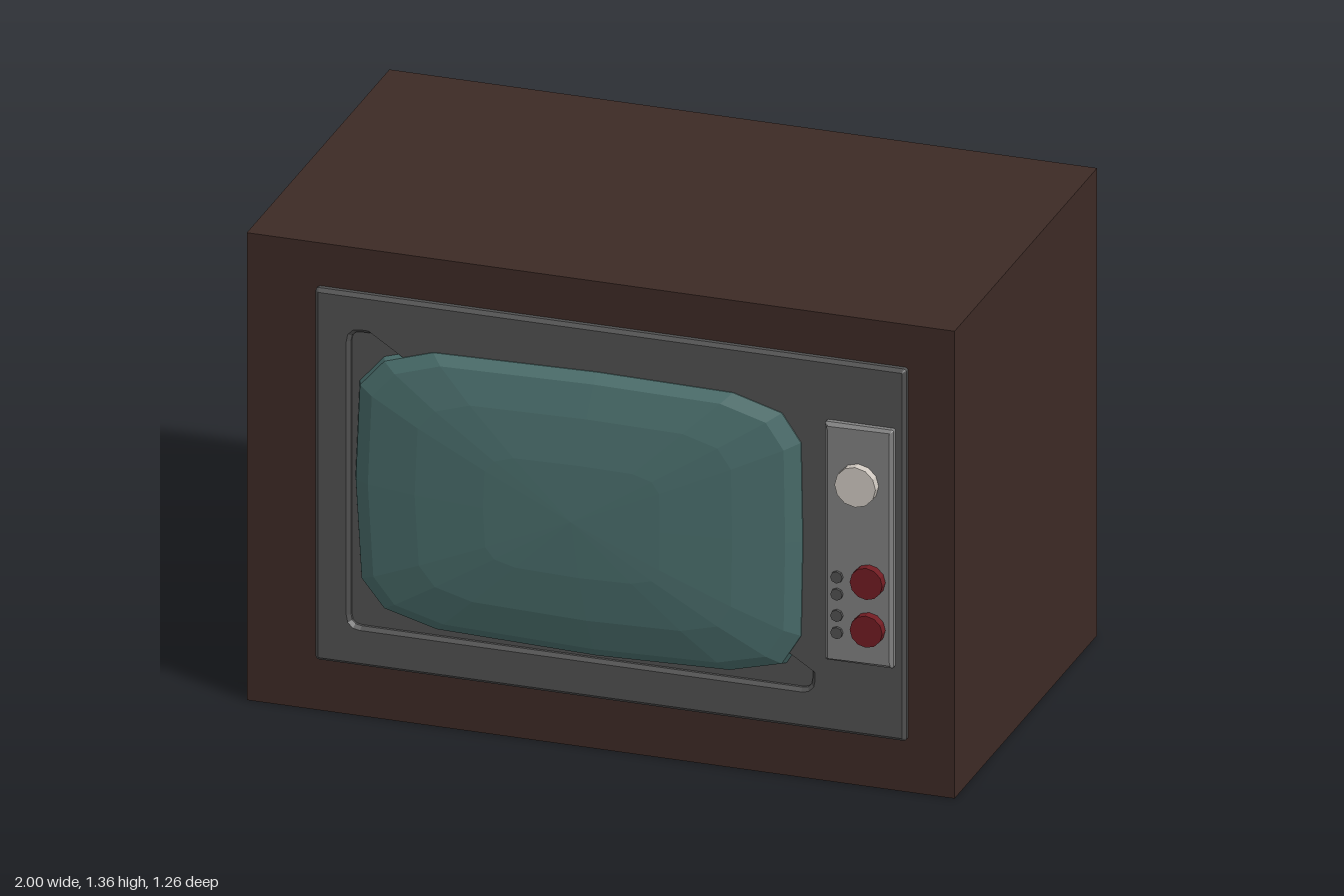
import * as THREE from 'three';

const mat = (color) => new THREE.MeshStandardMaterial({ color, flatShading: true, side: THREE.DoubleSide });

// Rectangle outline with rounded corners of radius r
function rect(target, x0, y0, x1, y1, r) {
  target.moveTo(x0 + r, y0);
  target.lineTo(x1 - r, y0);
  target.quadraticCurveTo(x1, y0, x1, y0 + r);
  target.lineTo(x1, y1 - r);
  target.quadraticCurveTo(x1, y1, x1 - r, y1);
  target.lineTo(x0 + r, y1);
  target.quadraticCurveTo(x0, y1, x0, y1 - r);
  target.lineTo(x0, y0 + r);
  target.quadraticCurveTo(x0, y0, x0 + r, y0);
  return target;
}

// Bevelled plate between z0 and z1
function plate(shape, z0, z1, bevel) {
  const geo = new THREE.ExtrudeGeometry(shape, {
    depth: z1 - z0 - 2 * bevel, bevelThickness: bevel, bevelSize: bevel,
    bevelOffset: -bevel, bevelSegments: 1, curveSegments: 3,
  });
  return geo.translate(0, 0, z0 + bevel);
}

// Domed picture tube: one outline repeated in shrinking rings
function screenGeometry() {
  const cx = -0.05, cy = 0.695;
  const outline = [
    [0.59, 0.7], [0.585, 0.99], [0.53, 1.07], [0.39, 1.11], [0, 1.115], [-0.47, 1.105], [-0.61, 1.06], [-0.68, 0.98],
    [-0.692, 0.7], [-0.675, 0.41], [-0.61, 0.33], [-0.46, 0.29], [0, 0.278], [0.38, 0.29], [0.53, 0.33], [0.585, 0.42],
  ];
  const rings = [[1, 0.53], [0.985, 0.555], [0.92, 0.577], [0.7, 0.603], [0.39, 0.621]];
  const n = outline.length, pos = [], index = [];
  for (const [s, z] of rings) {
    for (const [x, y] of outline) pos.push(cx + (x - cx) * s, cy + (y - cy) * s, z);
  }
  pos.push(cx, cy, 0.628);
  for (let r = 0; r < rings.length; r++) {
    for (let i = 0; i < n; i++) {
      const a = r * n + i, b = r * n + (i + 1) % n;
      if (r === rings.length - 1) index.push(a, b, rings.length * n);
      else index.push(a, b, b + n, a, b + n, a + n);
    }
  }
  const geo = new THREE.BufferGeometry();
  geo.setAttribute('position', new THREE.Float32BufferAttribute(pos, 3));
  geo.setIndex(index);
  geo.computeVertexNormals();
  return geo;
}

export function createModel() {
  const group = new THREE.Group();
  const brown = mat(0x3d2a25), darkGrey = mat(0x505050), grey = mat(0x808080);
  const glass = mat(0x4a6e6c), ivory = mat(0xcfc8c0), red = mat(0x701c22);
  const add = (name, geo, material) => {
    const mesh = new THREE.Mesh(geo, material);
    mesh.name = name;
    group.add(mesh);
    return mesh;
  };

  // Cabinet
  add('cabinet', new THREE.BoxGeometry(2, 1.36, 1.155).translate(0, 0.68, -0.0505), brown);

  // Front bezel with the screen opening and its recessed floor
  const frame = rect(new THREE.Shape(), -0.8, 0.155, 0.87, 1.237, 0.01);
  frame.holes.push(rect(new THREE.Path(), -0.7, 0.27, 0.605, 1.125, 0.03));
  add('bezel', plate(frame, 0.52, 0.553, 0.01), darkGrey);
  add('screenRecess', new THREE.BoxGeometry(1.36, 0.9, 0.02).translate(-0.05, 0.697, 0.525), darkGrey);
  add('screen', screenGeometry(), glass);

  // Control panel
  add('controlPanel', plate(rect(new THREE.Shape(), 0.648, 0.372, 0.842, 1.065, 0.006), 0.54, 0.577, 0.01), grey);

  // Round controls facing forward
  const knob = (name, x, y, radius, z1, sides, material) => {
    const geo = new THREE.CylinderGeometry(radius, radius, z1 - 0.57, sides);
    geo.rotateX(Math.PI / 2).translate(x, y, (z1 + 0.57) / 2);
    add(name, geo, material);
  };
  knob('channelKnob', 0.745, 0.9, 0.058, 0.603, 12, ivory);
  for (const y of [0.623, 0.484]) knob('dial', 0.776, y, 0.046, 0.603, 12, red);
  for (const y of [0.622, 0.572, 0.51, 0.46]) knob('button', 0.686, y, 0.017, 0.586, 8, darkGrey);

  return group;
}
